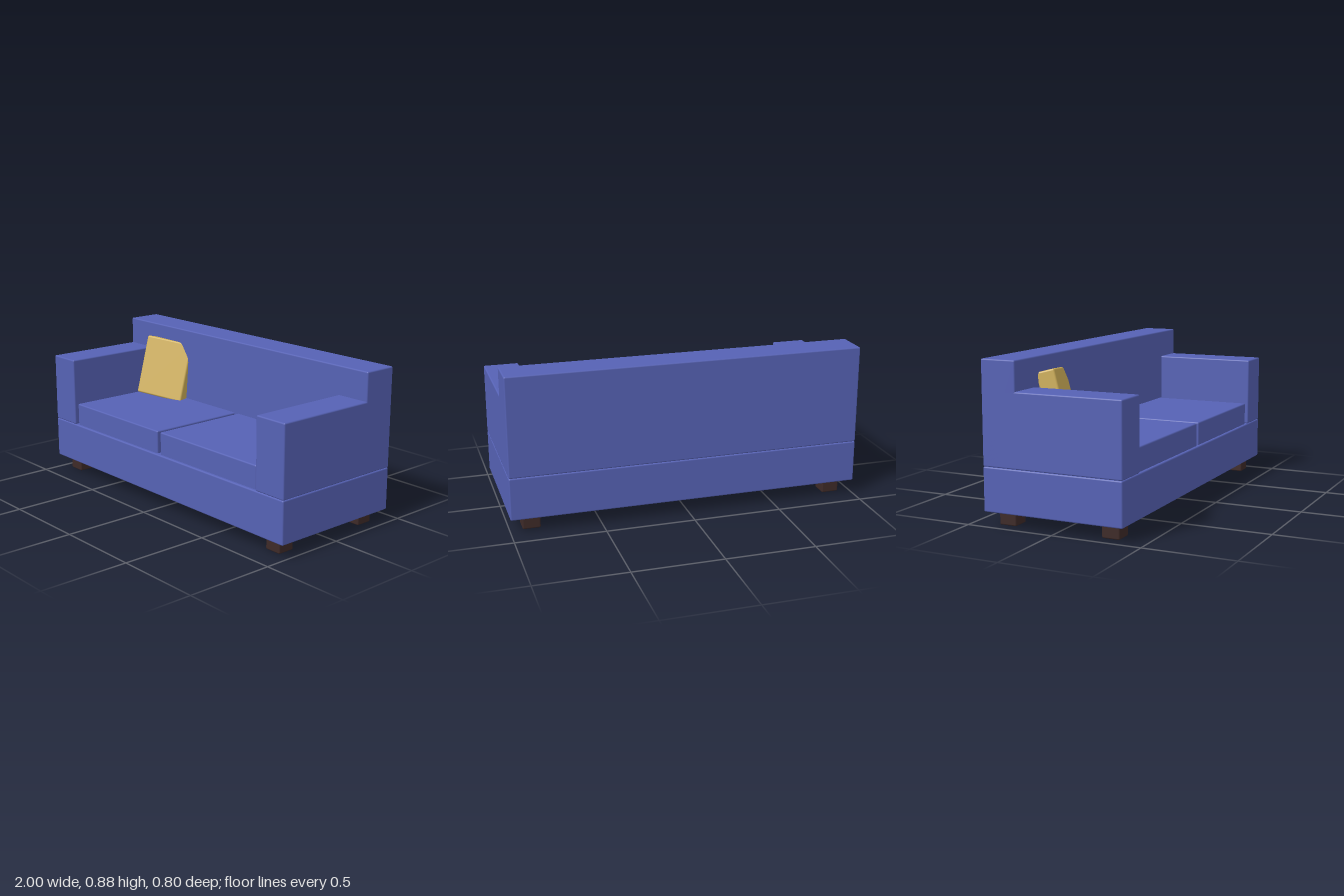
import * as THREE from 'three';
import { RoundedBoxGeometry } from 'three/addons/geometries/RoundedBoxGeometry.js';

const material = (name, color) => {
  const m = new THREE.MeshStandardMaterial({ color });
  m.name = name;
  return m;
};

export function createModel() {
  const sofa = new THREE.Group();
  sofa.name = 'sofa';

  const fabric = material('blue fabric', 0x5662b5);
  const mustard = material('mustard fabric', 0xd0b05a);
  const wood = material('dark wood', 0x3e2a28);

  // Softly rounded block given by its size and centre
  const block = (name, size, centre, mat, radius = 0.008) => {
    const mesh = new THREE.Mesh(new RoundedBoxGeometry(...size, 2, radius), mat);
    mesh.name = name;
    mesh.position.set(...centre);
    sofa.add(mesh);
    return mesh;
  };

  // Frame
  block('base', [2, 0.24, 0.8], [0, 0.2, 0], fabric);
  block('backrest', [2, 0.56, 0.2], [0, 0.6, -0.3], fabric);

  // Mirrored arms, seat cushions and feet
  for (const side of [-1, 1]) {
    const label = side > 0 ? 'left' : 'right';
    block(label + 'Arm', [0.2, 0.4, 0.8], [side * 0.9, 0.52, 0], fabric);
    block(label + 'SeatCushion', [0.775, 0.14, 0.61], [side * 0.4, 0.38, 0.08], fabric);
    for (const end of [-1, 1]) {
      const foot = label + (end > 0 ? 'FrontFoot' : 'BackFoot');
      block(foot, [0.1, 0.08, 0.1], [side * 0.88, 0.04, end * 0.3], wood);
    }
  }

  // Throw pillow leaning into the backrest
  const pillow = block('throwPillow', [0.32, 0.36, 0.1], [-0.602, 0.616, -0.172], mustard, 0.01);
  pillow.rotation.set(-0.26, 0.335, 0);

  return sofa;
}
